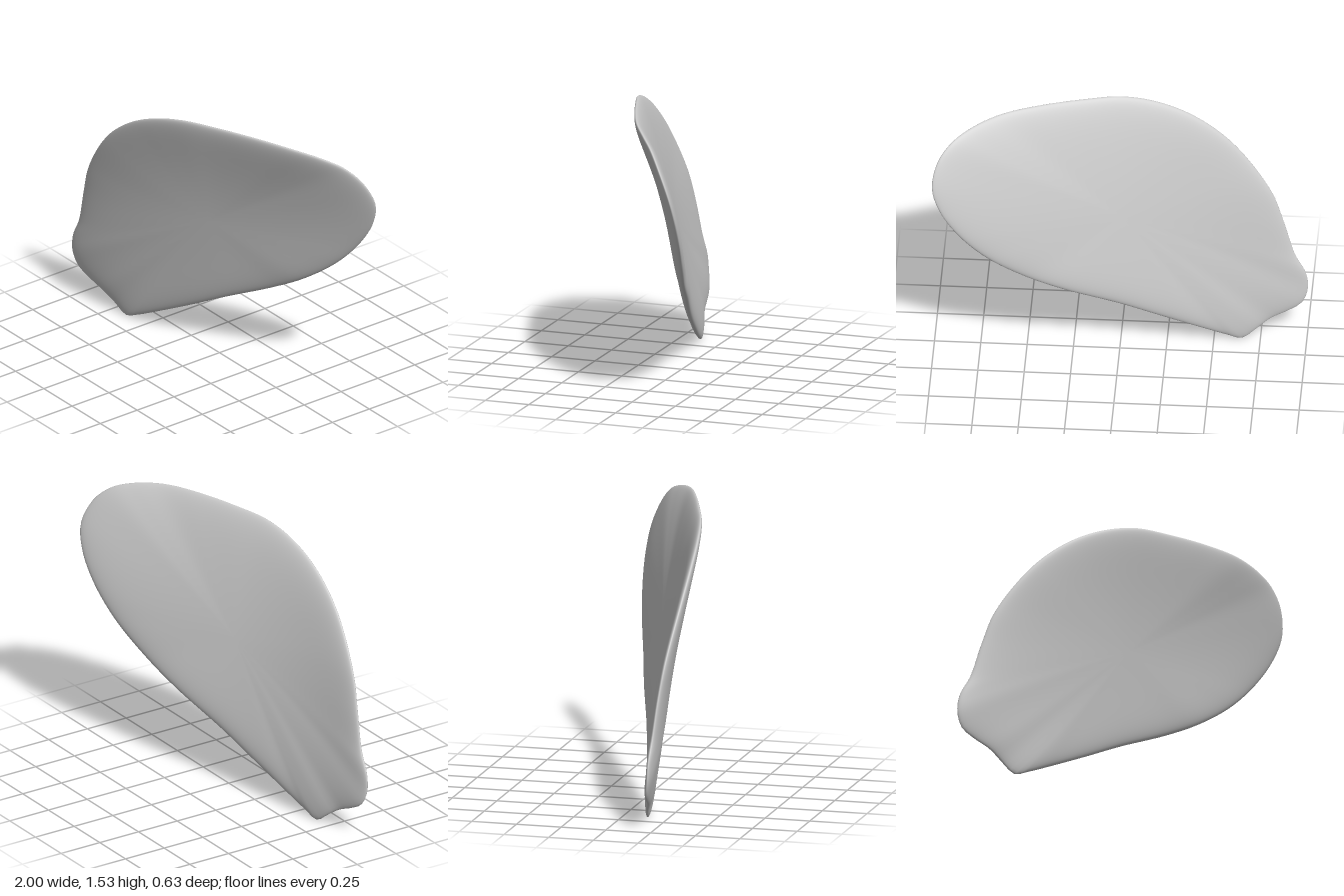
import * as THREE from 'three';

// Rim of the blade, counter-clockwise from the base point: x, y, z
const RIM = [
  [-0.65, 0.005, 0.135], [-0.57, 0.035, 0.12], [-0.4, 0.12, 0.075], [-0.2, 0.225, 0.02],
  [0, 0.335, -0.04], [0.3, 0.49, -0.14], [0.5, 0.61, -0.2], [0.7, 0.77, -0.265],
  [0.85, 0.94, -0.305], [0.95, 1.1, -0.315], [0.995, 1.24, -0.295], [0.97, 1.37, -0.235],
  [0.9, 1.455, -0.165], [0.8, 1.5, -0.085], [0.65, 1.528, 0.01], [0.45, 1.535, 0.095],
  [0.2, 1.525, 0.185], [0, 1.505, 0.25], [-0.2, 1.445, 0.29], [-0.4, 1.34, 0.308],
  [-0.6, 1.17, 0.305], [-0.8, 0.89, 0.275], [-0.87, 0.7, 0.255], [-0.93, 0.5, 0.24],
  [-0.99, 0.38, 0.235], [-1, 0.28, 0.23], [-0.97, 0.2, 0.215], [-0.9, 0.155, 0.2],
  [-0.8, 0.11, 0.18], [-0.73, 0.06, 0.155],
];
const CENTRE = new THREE.Vector3(0, 0.85, 0.06);
const NORMAL = new THREE.Vector3(0.405, -0.215, 1).normalize();
const HALF_THICKNESS = 0.03;
const SEGMENTS = 160, ROWS = 48;

// Height of the mean plane through the blade
const planeZ = (x, y) => CENTRE.z - 0.405 * x + 0.215 * (y - CENTRE.y);

// Closed shell: rows run from the front centre over the rounded rim to the back centre
function bladeGeometry() {
  const curve = new THREE.CatmullRomCurve3(RIM.map(p => new THREE.Vector3(...p)), true, 'centripetal');
  const rim = curve.getSpacedPoints(SEGMENTS).slice(0, SEGMENTS);
  const positions = [], index = [];
  for (let j = 0; j <= ROWS; j++) {
    const angle = Math.PI * j / ROWS;
    const t = j === ROWS ? 0 : Math.sin(angle);
    const offset = Math.sign(Math.cos(angle)) * HALF_THICKNESS * Math.sqrt(Math.max(0, 1 - t ** 8));
    for (const e of rim) {
      const x = CENTRE.x + (e.x - CENTRE.x) * t;
      const y = CENTRE.y + (e.y - CENTRE.y) * t;
      const z = planeZ(x, y) + (e.z - planeZ(e.x, e.y)) * t * t; // the warp grows toward the rim
      positions.push(x + NORMAL.x * offset, y + NORMAL.y * offset, z + NORMAL.z * offset);
    }
  }
  for (let j = 0; j < ROWS; j++) {
    for (let i = 0; i < SEGMENTS; i++) {
      const n = (i + 1) % SEGMENTS;
      const a = j * SEGMENTS + i, b = a + SEGMENTS;
      const c = (j + 1) * SEGMENTS + n, d = j * SEGMENTS + n;
      if (j < ROWS - 1) index.push(a, b, c);
      if (j > 0) index.push(a, c, d);
    }
  }
  const geometry = new THREE.BufferGeometry();
  geometry.setAttribute('position', new THREE.Float32BufferAttribute(positions, 3));
  geometry.setIndex(index);
  geometry.computeVertexNormals();
  // The centre rows are single points, so give them the blade's own normal
  const normals = geometry.attributes.normal;
  for (let i = 0; i < SEGMENTS; i++) {
    normals.setXYZ(i, NORMAL.x, NORMAL.y, NORMAL.z);
    normals.setXYZ(ROWS * SEGMENTS + i, -NORMAL.x, -NORMAL.y, -NORMAL.z);
  }
  return geometry;
}

export function createModel() {
  const group = new THREE.Group();
  group.name = 'petal';
  const blade = new THREE.Mesh(bladeGeometry(), new THREE.MeshStandardMaterial({ color: 0xcccccc }));
  blade.name = 'petalBlade';
  group.add(blade);
  return group;
}
